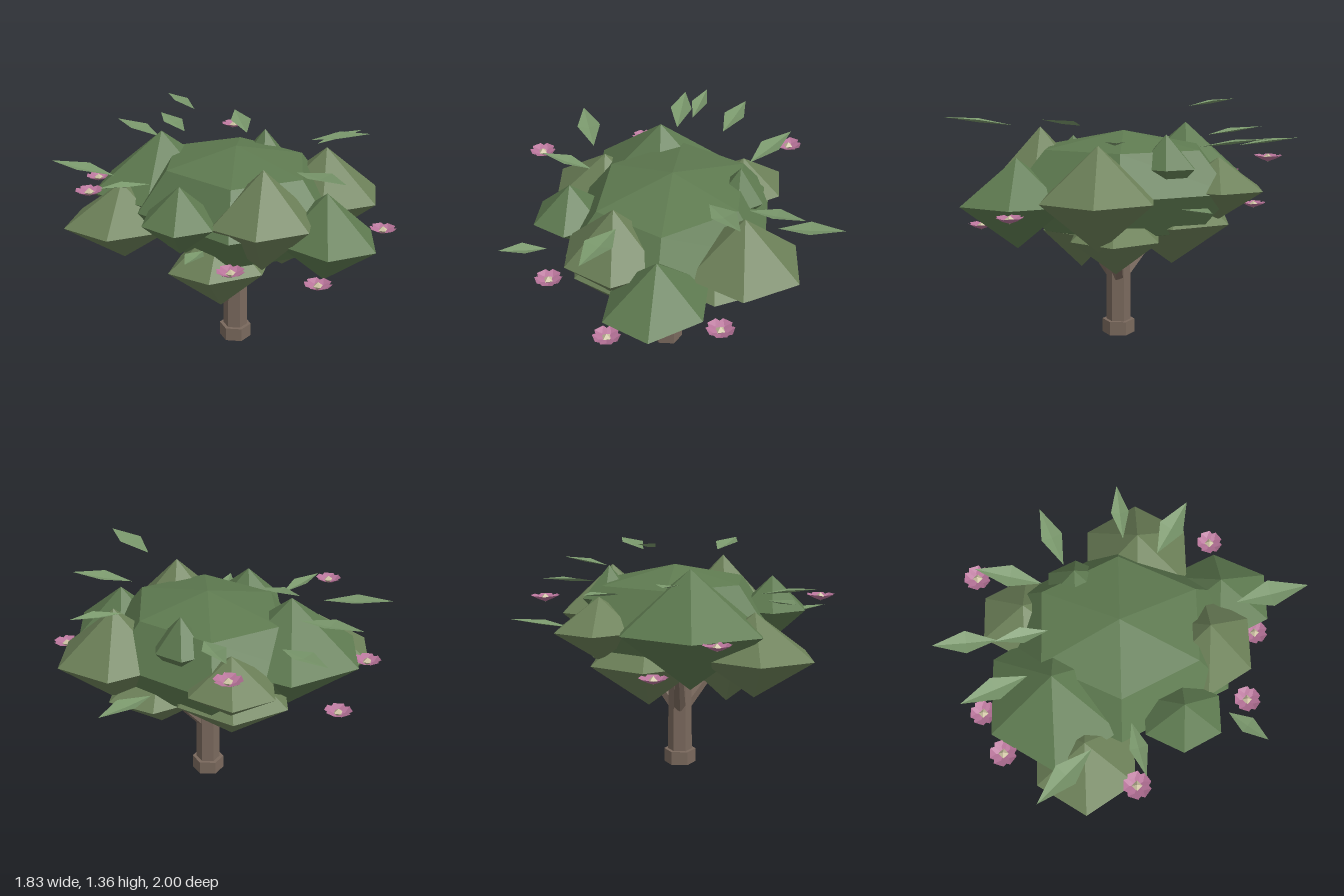
import * as THREE from 'three';

const paint = (color, side = THREE.FrontSide) =>
  new THREE.MeshStandardMaterial({ color, flatShading: true, side });

const bark = paint(0x7a695d);
const green = paint(0x5e7a50);
const olive = paint(0x6c8058);
const leafGreen = paint(0x7a986c, THREE.DoubleSide);
const pink = paint(0xb8749a, THREE.DoubleSide);
const cream = paint(0xcfc4a4);

function add(parent, name, geometry, material, x = 0, y = 0, z = 0) {
  const mesh = new THREE.Mesh(geometry, material);
  mesh.name = name;
  mesh.position.set(x, y, z);
  parent.add(mesh);
  return mesh;
}

function facets(points, index) {
  const g = new THREE.BufferGeometry();
  g.setAttribute('position', new THREE.Float32BufferAttribute(points.flat(), 3));
  g.setIndex(index);
  g.computeVertexNormals();
  return g;
}

// Tapered branch between two points
function branch(parent, from, to) {
  const a = new THREE.Vector3(...from), b = new THREE.Vector3(...to);
  const dir = b.clone().sub(a);
  const mid = a.add(b).multiplyScalar(0.5);
  const m = add(parent, 'branch', new THREE.CylinderGeometry(0.025, 0.036, dir.length(), 5), bark, mid.x, mid.y, mid.z);
  m.quaternion.setFromUnitVectors(new THREE.Vector3(0, 1, 0), dir.normalize());
}

// Diamond leaf folded along its midrib, from base to tip
function leaf(parent, base, tip, width) {
  const a = new THREE.Vector3(...base), b = new THREE.Vector3(...tip);
  const side = b.clone().sub(a).cross(new THREE.Vector3(0, 1, 0)).setLength(width / 2);
  const mid = a.clone().lerp(b, 0.48);
  const left = mid.clone().add(side), right = mid.clone().sub(side);
  left.y += 0.012;
  right.y += 0.012;
  mid.y -= 0.006;
  const pts = [a, b, left, right, mid].map((p) => p.toArray());
  add(parent, 'leaf', facets(pts, [0, 4, 2, 4, 1, 2, 0, 3, 4, 4, 3, 1]), leafGreen);
}

// Five broad upturned petals around a small faceted heart
function flower(parent, x, y, z) {
  const group = new THREE.Group();
  group.name = 'flower';
  group.position.set(x, y, z);
  const petal = facets(
    [[0, -0.02, 0], [0.048, 0.008, 0.036], [0.048, 0.008, -0.036], [0.07, 0.014, 0.028], [0.07, 0.014, -0.028], [0.04, -0.006, 0]],
    [0, 1, 5, 0, 5, 2, 5, 1, 3, 5, 3, 4, 5, 4, 2]);
  for (let i = 0; i < 5; i++) {
    add(group, 'petal', petal, pink).rotation.y = (i / 5) * Math.PI * 2 + 0.3;
  }
  add(group, 'flowerHeart', new THREE.OctahedronGeometry(0.028), cream).scale.y = 0.8;
  parent.add(group);
}

export function createModel() {
  const tree = new THREE.Group();
  tree.name = 'tree';

  // Trunk, foot and three branches
  const tx = 0.036, tz = 0.03;
  add(tree, 'trunk', new THREE.CylinderGeometry(0.066, 0.072, 0.75, 6), bark, tx, 0.375, tz);
  add(tree, 'trunkFoot', new THREE.CylinderGeometry(0.094, 0.094, 0.08, 6), bark, tx, 0.04, tz);
  for (let i = 0; i < 3; i++) {
    const a = (i / 3) * Math.PI * 2, dx = Math.cos(a), dz = Math.sin(a);
    branch(tree, [tx + dx * 0.04, 0.35, tz + dz * 0.04], [tx + dx * 0.27, 0.6, tz + dz * 0.27]);
  }

  // Broad central crown
  add(tree, 'crown', new THREE.SphereGeometry(1, 6, 4), green, 0.05, 0.87, 0).scale.set(0.59, 0.32, 0.69);

  // Surrounding clumps: six-sided double pyramids [x, y, z, radius x, half height, radius z, material]
  const clump = new THREE.SphereGeometry(1, 6, 2);
  for (const [x, y, z, rx, h, rz, material] of [
    [0.57, 0.87, 0.11, 0.34, 0.28, 0.33, olive],
    [0, 0.92, 0.48, 0.3, 0.285, 0.28, olive],
    [0.33, 0.81, 0.57, 0.28, 0.25, 0.33, green],
    [-0.57, 0.76, -0.2, 0.345, 0.23, 0.31, olive],
    [-0.27, 0.89, -0.36, 0.43, 0.325, 0.4, green],
    [0.2, 0.88, -0.53, 0.25, 0.175, 0.27, olive],
    [-0.41, 0.93, 0.33, 0.21, 0.19, 0.235, green],
    [0.34, 1.01, -0.24, 0.15, 0.18, 0.175, green],
    [-0.15, 0.6, 0.26, 0.31, 0.25, 0.245, olive],
    [0.34, 0.63, 0.03, 0.32, 0.21, 0.27, olive],
    [0.05, 0.68, -0.28, 0.34, 0.26, 0.36, olive],
  ]) {
    add(tree, 'foliageClump', clump, material, x, y, z).scale.set(rx, h, rz);
  }

  // Loose leaves: base, tip, width
  for (const [base, tip, width] of [
    [[-0.02, 1.1, -0.66], [-0.06, 1.14, -1], 0.13],
    [[-0.06, 1.32, -0.37], [-0.13, 1.36, -0.64], 0.09],
    [[-0.24, 1.14, -0.49], [-0.4, 1.18, -0.83], 0.13],
    [[-0.62, 1.05, -0.16], [-0.91, 1.09, -0.44], 0.14],
    [[-0.48, 1.05, 0.05], [-0.78, 1.09, 0.12], 0.1],
    [[-0.38, 0.86, 0.59], [-0.55, 0.9, 0.79], 0.1],
    [[0.12, 1.22, 0.62], [0.19, 1.27, 1], 0.15],
    [[0.41, 1.24, 0.21], [0.69, 1.29, 0.38], 0.14],
    [[0.55, 1.15, 0.03], [0.86, 1.19, 0], 0.1],
    [[0.56, 0.82, -0.32], [0.91, 0.86, -0.46], 0.13],
    [[0.3, 1.12, -0.42], [0.37, 1.17, -0.78], 0.13],
  ]) leaf(tree, base, tip, width);

  // Blossoms
  for (const p of [
    [-0.31, 0.71, -0.78], [0.36, 1.07, -0.78], [-0.59, 0.88, -0.64],
    [-0.82, 1.06, 0.07], [-0.28, 0.77, 0.71], [0.7, 0.785, 0.55], [0.17, 0.655, 0.8],
  ]) flower(tree, ...p);

  return tree;
}
